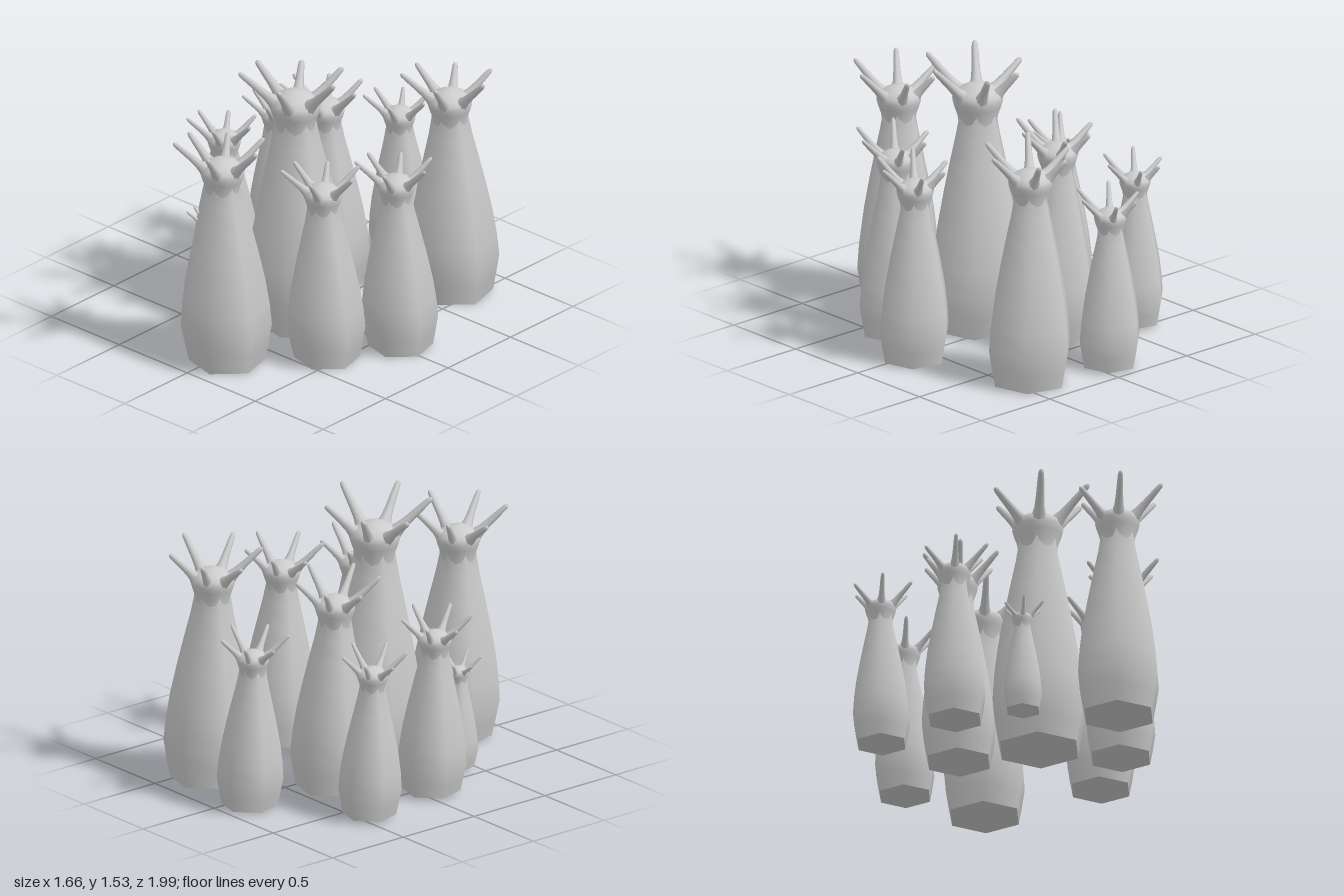
import * as THREE from 'three';

const material = new THREE.MeshStandardMaterial({ color: 0xcccccc });
const points = (list) => list.map(([r, y]) => new THREE.Vector2(r, y));
const HEX_TURN = Math.PI / 12;

// Six-sided body, its flat base, and the rounder crown on the neck
const bodyGeometry = new THREE.LatheGeometry(points([
  [0.208, 0], [0.228, 0.1], [0.247, 0.21], [0.237, 0.34], [0.218, 0.48], [0.185, 0.65],
  [0.15, 0.81], [0.118, 0.95], [0.1, 1.05], [0.1, 1.09],
]), 6, HEX_TURN);
const baseGeometry = new THREE.LatheGeometry(points([[0, 0], [0.208, 0]]), 6, HEX_TURN);
const crownGeometry = new THREE.LatheGeometry(points([
  [0.092, 1.02], [0.098, 1.06], [0.112, 1.1], [0.122, 1.135], [0.118, 1.165],
  [0.092, 1.185], [0.06, 1.203], [0.03, 1.213], [0, 1.216],
]), 18);

// Unit-length tentacle with a flared root and rounded tip
const tentacleGeometry = new THREE.LatheGeometry(points([
  [0.046, 0], [0.036, 0.14], [0.025, 0.3], [0.02, 0.5], [0.017, 0.75],
  [0.014, 0.93], [0.009, 0.98], [0, 1],
]), 8);

// Tentacle tips around the crown, at full scale
const tips = [
  [0.265, 1.335, 0.015], [0.11, 1.33, 0.24], [-0.17, 1.33, 0.21],
  [-0.265, 1.28, -0.015], [-0.11, 1.28, -0.165], [0.12, 1.305, -0.205],
];

function addMesh(group, name, geometry) {
  const mesh = new THREE.Mesh(geometry, material);
  mesh.name = name;
  group.add(mesh);
  return mesh;
}

function createPolyp() {
  const polyp = new THREE.Group();
  polyp.name = 'polyp';

  for (const [name, geometry] of [['body', bodyGeometry], ['base', baseGeometry]]) {
    const mesh = addMesh(polyp, name, geometry);
    // The body leans slightly, so its top stays under the crown
    mesh.geometry = geometry.clone();
    const p = mesh.geometry.attributes.position;
    for (let i = 0; i < p.count; i++) {
      const lean = 1 - p.getY(i) / 1.09;
      p.setX(i, p.getX(i) + 0.022 * lean);
      p.setZ(i, p.getZ(i) - 0.015 * lean);
    }
  }
  addMesh(polyp, 'crown', crownGeometry);

  for (const tip of tips) {
    const end = new THREE.Vector3(...tip);
    const start = new THREE.Vector3(end.x, 0, end.z).setLength(0.07).setY(1.135);
    const direction = end.clone().sub(start);
    const tentacle = addMesh(polyp, 'tentacle', tentacleGeometry);
    tentacle.position.copy(start);
    tentacle.scale.y = direction.length();
    tentacle.quaternion.setFromUnitVectors(new THREE.Vector3(0, 1, 0), direction.normalize());
  }
  return polyp;
}

// x, z, scale, and height of the base
const placements = [
  [0, 0.135, 1.145, 0], [0.025, 0.745, 1, 0], [0.37, -0.7, 1, 0],
  [0.404, 0.353, 0.86, 0], [0.6, -0.022, 0.845, 0], [-0.187, -0.302, 0.91, 0.015],
  [-0.108, -0.816, 0.735, 0.01], [-0.646, -0.42, 0.7, 0.015],
  [-0.57, 0.083, 0.76, 0.012], [-0.37, 0.415, 0.475, 0.013],
];

export function createModel() {
  const model = new THREE.Group();
  model.name = 'polypCluster';
  const template = createPolyp();
  for (const [x, z, scale, y] of placements) {
    const polyp = template.clone();
    polyp.position.set(x, y, z);
    polyp.scale.setScalar(scale);
    model.add(polyp);
  }
  return model;
}
